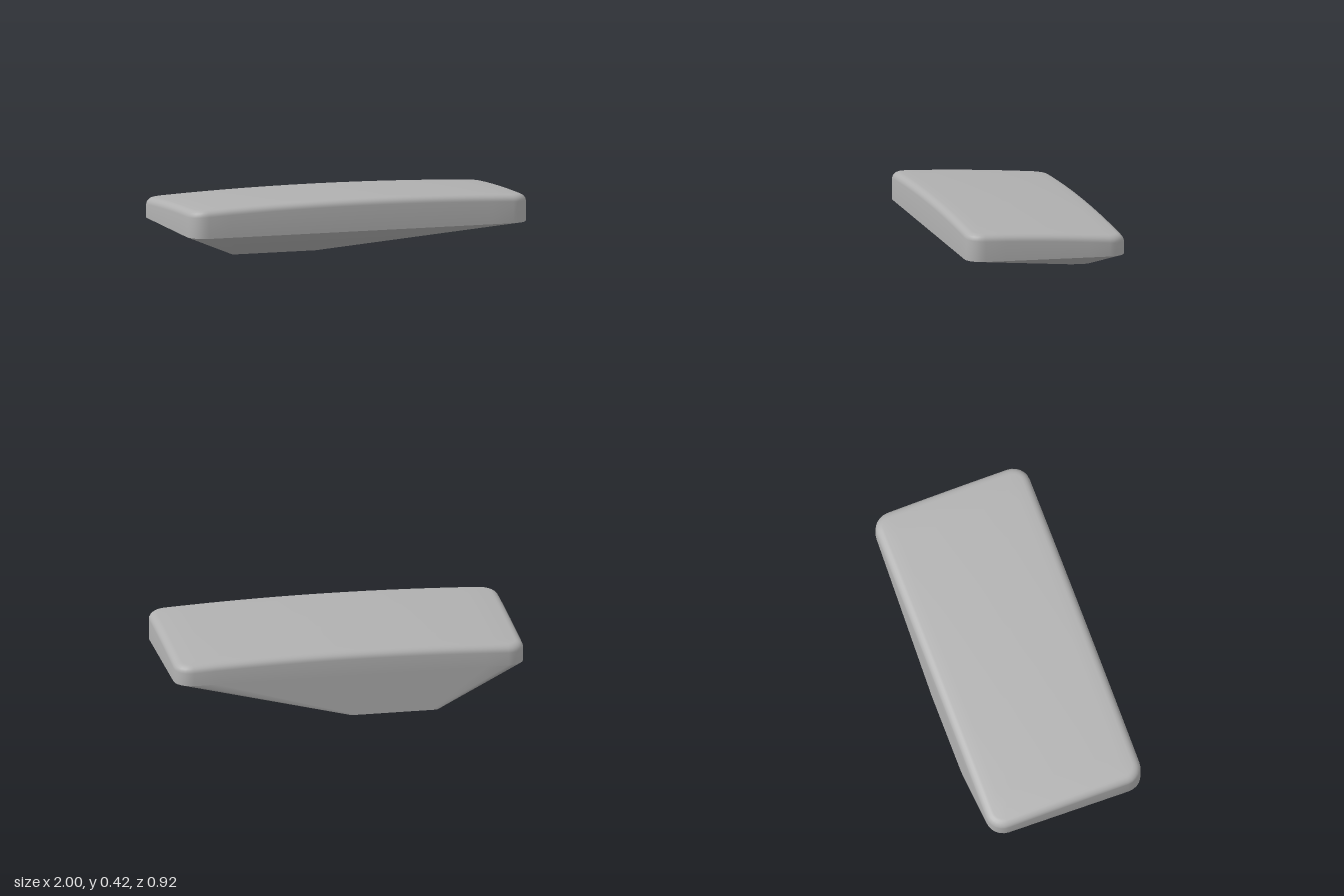
import * as THREE from 'three';
import { toCreasedNormals } from 'three/addons/utils/BufferGeometryUtils.js';

const HALF_W = 1, HALF_D = 0.458, CORNER = 0.1, RIM_Y = 0.235;
const BEVEL = 0.045, BEVEL_H = 0.038;

// Gently crowned top that falls away toward the back
const crown = (x, z) => 0.402 + 0.052 * z - 0.04 * z * z - 0.028 * x * x;

// Rounded rectangle, counter-clockwise from above, with subdivided sides
function ring(cx, cz, hw, hd, r, yAt) {
  const corners = [[1, -1], [-1, -1], [-1, 1], [1, 1]];
  const points = [];
  corners.forEach(([sx, sz], i) => {
    const arc = [];
    for (let k = 0; k <= 6; k++) {
      const a = (i + k / 6) * Math.PI / 2;
      arc.push([cx + sx * (hw - r) + r * Math.cos(a), cz + sz * (hd - r) - r * Math.sin(a)]);
    }
    points.push(...arc);
    // straight side leading to the next corner
    const [nx, nz] = corners[(i + 1) % 4];
    const a = (i + 1) * Math.PI / 2;
    const end = [cx + nx * (hw - r) + r * Math.cos(a), cz + nz * (hd - r) - r * Math.sin(a)];
    const steps = i % 2 ? 6 : 14;
    for (let k = 1; k < steps; k++) {
      const t = k / steps;
      points.push([arc[6][0] + (end[0] - arc[6][0]) * t, arc[6][1] + (end[1] - arc[6][1]) * t]);
    }
  });
  return points.map(([x, z]) => new THREE.Vector3(x, yAt(x, z), z));
}

// Skin consecutive rings, skipping collapsed triangles
function loft(rings, crease) {
  const pos = [];
  const tri = (a, b, c) => {
    if (new THREE.Triangle(a, b, c).getArea() > 1e-8) {
      for (const p of [a, b, c]) pos.push(p.x, p.y, p.z);
    }
  };
  for (let j = 0; j < rings.length - 1; j++) {
    const lo = rings[j], hi = rings[j + 1];
    for (let k = 0; k < lo.length; k++) {
      const n = (k + 1) % lo.length;
      tri(lo[k], lo[n], hi[n]);
      tri(lo[k], hi[n], hi[k]);
    }
  }
  const geo = new THREE.BufferGeometry();
  geo.setAttribute('position', new THREE.Float32BufferAttribute(pos, 3));
  return toCreasedNormals(geo, crease);
}

export function createModel() {
  const group = new THREE.Group();
  const grey = new THREE.MeshStandardMaterial({ color: 0xb0b0b0 });
  grey.name = 'plain grey';
  const add = (name, geo) => {
    const mesh = new THREE.Mesh(geo, grey);
    mesh.name = name;
    group.add(mesh);
  };

  // Cushion-like slab: upright wall, rounded rim, crowned top
  const slab = [ring(0, 0, HALF_W, HALF_D, CORNER, () => RIM_Y)];
  for (let i = 0; i <= 5; i++) {
    const a = (i / 5) * Math.PI / 2;
    const inset = BEVEL * (1 - Math.cos(a));
    slab.push(ring(0, 0, HALF_W - inset, HALF_D - inset, CORNER - inset,
      (x, z) => crown(x, z) - BEVEL_H * (1 - Math.sin(a))));
  }
  const edge = slab[slab.length - 1];
  for (const s of [0.85, 0.65, 0.45, 0.2, 0]) {
    slab.push(edge.map(p => new THREE.Vector3(p.x * s, crown(p.x * s, p.z * s), p.z * s)));
  }
  add('topSlab', loft(slab, 0.6));

  // Tapered base: slopes from the slab down to a small off-centre foot at the back
  const foot = ring(-0.245, -0.413, 0.245, 0.045, 0, () => 0);
  const footCentre = foot.map(() => new THREE.Vector3(-0.245, 0, -0.413));
  const rim = ring(0, 0, HALF_W, HALF_D, CORNER, () => RIM_Y);
  add('taperedBase', loft([footCentre, foot, rim], 0.6));

  return group;
}
